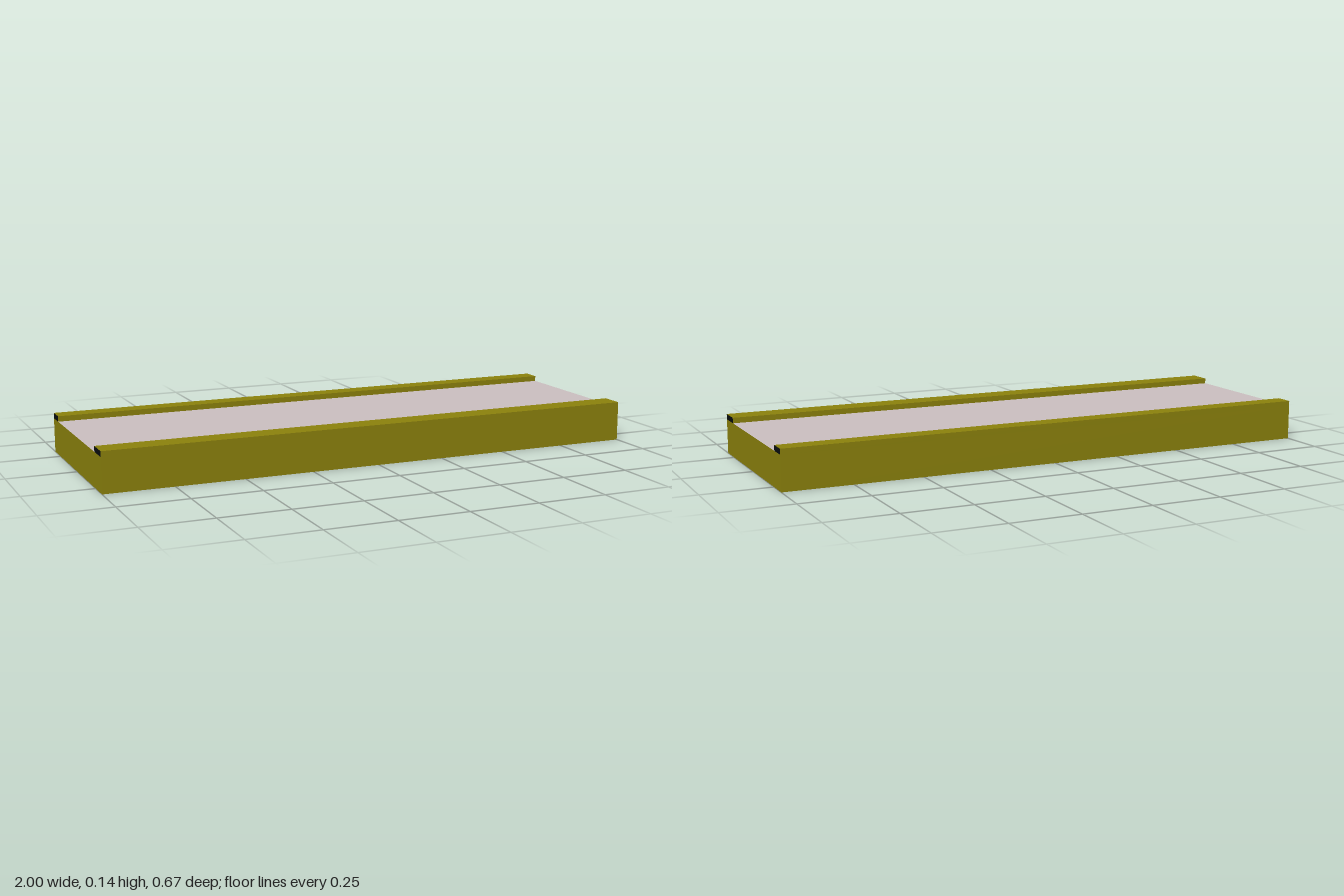
import * as THREE from 'three';

const LENGTH = 2, HALF_DEPTH = 0.333, DECK_Y = 0.125, RAIL_TOP = 0.145;

function paint(name, color) {
  const m = new THREE.MeshStandardMaterial({ color });
  m.name = name;
  return m;
}

export function createModel() {
  const olive = paint('olive', 0x8b810c);
  const surface = paint('pale grey pink', 0xcabfc0);
  const black = paint('black', 0x080c0e);
  const group = new THREE.Group();
  group.name = 'railedPlatform';

  // Full-length box between two heights and two depths;
  // materials in the order +x, -x, +y, -y, +z, -z
  function addBar(name, y0, y1, z0, z1, materials) {
    const mesh = new THREE.Mesh(new THREE.BoxGeometry(LENGTH, y1 - y0, z1 - z0), materials);
    mesh.position.set(0, (y0 + y1) / 2, (z0 + z1) / 2);
    mesh.name = name;
    group.add(mesh);
  }

  // Slab with a pale walking surface
  addBar('slab', 0, DECK_Y, -HALF_DEPTH, HALF_DEPTH, [olive, olive, surface, olive, olive, olive]);

  // Raised kerbs with black ends, the front one wider
  const kerb = [black, black, olive, olive, olive, olive];
  addBar('frontKerb', DECK_Y, RAIL_TOP, 0.25, HALF_DEPTH, kerb);
  addBar('backKerb', DECK_Y, RAIL_TOP, -HALF_DEPTH, -0.267, kerb);

  return group;
}
